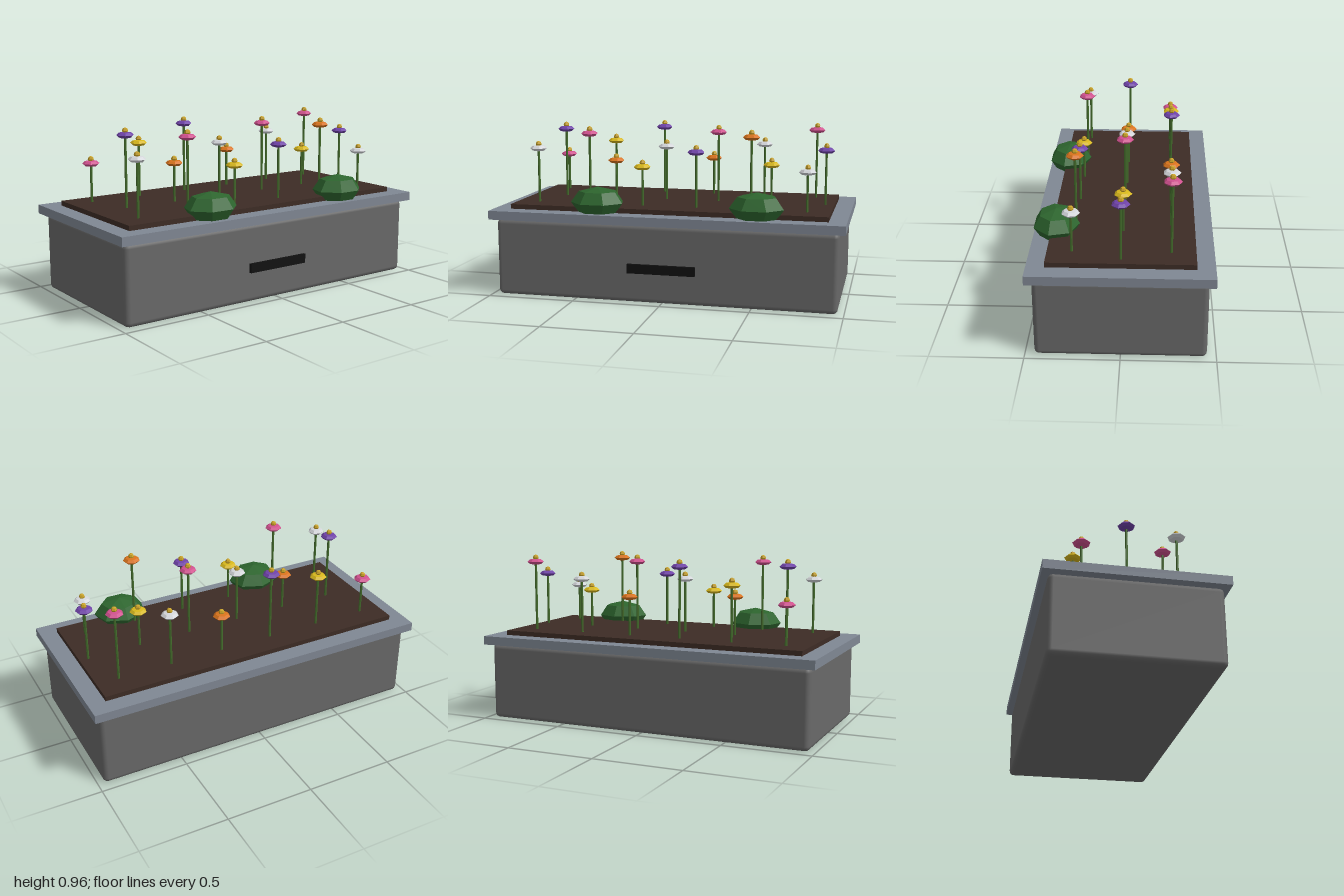
import * as THREE from 'three';
import { RoundedBoxGeometry } from 'three/addons/geometries/RoundedBoxGeometry.js';

const mat = (color, flatShading = true) => new THREE.MeshStandardMaterial({ color, flatShading });

function add(parent, name, geometry, material, x, y, z) {
  const mesh = new THREE.Mesh(geometry, material);
  mesh.name = name;
  mesh.position.set(x, y, z);
  parent.add(mesh);
  return mesh;
}

// Faceted ball squashed to the given half-sizes, one corner pointing back
function facetedBall(sides, rings, rx, ry, rz) {
  return new THREE.SphereGeometry(1, sides, rings).rotateY(-Math.PI / 2).scale(rx, ry, rz);
}

export function createModel() {
  const model = new THREE.Group();
  model.name = 'planter';

  // Trough with softened edges, rim slab, soil bed and front slot
  add(model, 'trough', new RoundedBoxGeometry(1.932, 0.44, 0.902, 2, 0.027), mat(0x686868, false), 0, 0.22, 0);
  add(model, 'rim', new THREE.BoxGeometry(2, 0.05, 0.968), mat(0x7f8793), 0, 0.465, 0);
  add(model, 'soil', new THREE.BoxGeometry(1.806, 0.047, 0.774), mat(0x3d2c25), 0, 0.4935, 0);
  add(model, 'frontSlot', new THREE.BoxGeometry(0.384, 0.052, 0.026), mat(0x111111), 0, 0.195, 0.453);

  // Two shrubs along the front edge
  const shrubGeo = facetedBall(7, 4, 0.154, 0.088, 0.128);
  const shrubMat = mat(0x2d652e);
  for (const x of [-0.387, 0.515]) add(model, 'shrub', shrubGeo, shrubMat, x, 0.545, 0.362);

  // Three staggered rows of flowers with cycling colours and heights
  const petalMats = [0xd0508e, 0xd8b81c, 0x6f42a8, 0xd9731c, 0xd4d6da].map((c) => mat(c));
  const stemMat = mat(0x436b2b);
  const centreMat = mat(0xc9a227);
  const petalGeo = facetedBall(7, 4, 0.049, 0.019, 0.049);
  const centreGeo = facetedBall(6, 4, 0.017, 0.018, 0.017);
  const heights = [0.737, 0.828, 0.919];
  for (let row = 0; row < 3; row++) {
    for (let col = 0; col < 6; col++) {
      const flower = new THREE.Group();
      flower.name = 'flower';
      flower.position.set(-0.775 + col * 0.31 + (row === 1 ? 0.0775 : 0), 0, (row - 1) * 0.258);
      const y = heights[(col + 2 * row) % 3];
      const base = 0.5;
      const stemGeo = new THREE.CylinderGeometry(0.007, 0.007, y - base, 6);
      add(flower, 'stem', stemGeo, stemMat, 0, (y + base) / 2, 0);
      add(flower, 'petals', petalGeo, petalMats[(col + 2 * row) % 5], 0, y, 0);
      add(flower, 'flowerCentre', centreGeo, centreMat, 0, y + 0.024, 0);
      model.add(flower);
    }
  }
  return model;
}
